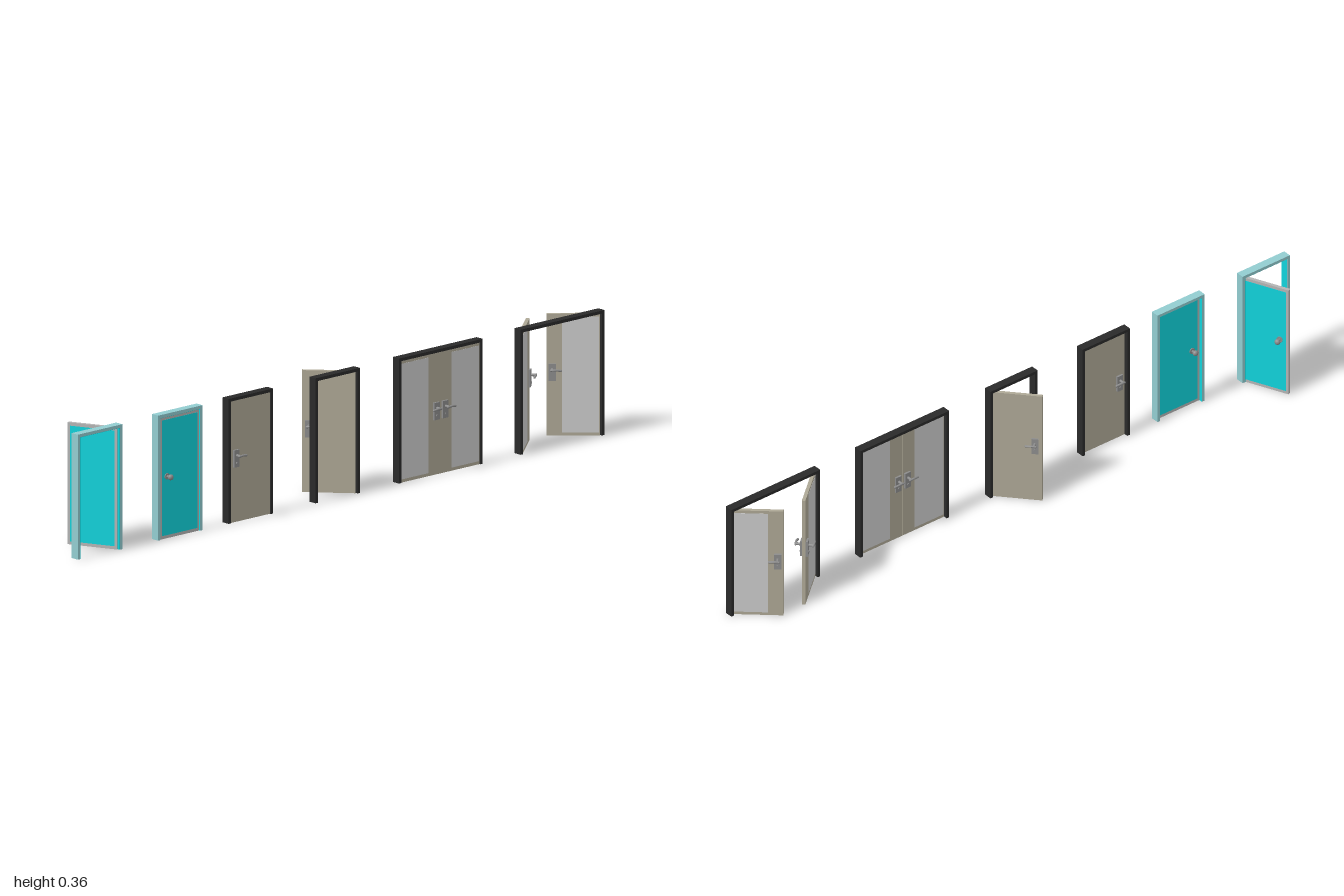
import * as THREE from 'three';

const mat = (color) => new THREE.MeshStandardMaterial({ color });
const grey = mat(0xcccccc), metal = mat(0x8c8c8c), khaki = mat(0xaea896), dark = mat(0x2a2a2a);
const teal = mat(0x10d2da), paleTeal = mat(0x92ccd0), border = mat(0xb4b4b4);

const H = 0.361, POST = 0.009, LEAF_H = H - POST, T = 0.01, Z = 0.056;
const FRAME_Z = 0.052, FRAME_D = 0.025;

function add(parent, name, geometry, material, x = 0, y = 0, z = 0) {
  const mesh = new THREE.Mesh(geometry, material);
  mesh.name = name;
  mesh.position.set(x, y, z);
  parent.add(mesh);
  return mesh;
}
const box = (w, h, d) => new THREE.BoxGeometry(w, h, d);

// Two posts and a lintel, optionally lined with a second colour
function buildFrame(x0, x1, material, lining) {
  const frame = new THREE.Group();
  frame.name = 'doorFrame';
  const w = x1 - x0, mid = (x0 + x1) / 2;
  for (const s of [-1, 1]) {
    add(frame, 'post', box(POST, LEAF_H, FRAME_D), material, mid + s * (w - POST) / 2, LEAF_H / 2, FRAME_Z);
    if (lining) add(frame, 'postLining', box(0.001, LEAF_H, FRAME_D - 0.001), lining,
      mid + s * (w / 2 - POST - 0.0003), LEAF_H / 2, FRAME_Z);
  }
  add(frame, 'lintel', box(w, POST, FRAME_D), material, mid, H - POST / 2, FRAME_Z);
  if (lining) add(frame, 'lintelLining', box(w - 2 * POST, 0.001, FRAME_D - 0.001), lining, mid, LEAF_H - 0.0003, FRAME_Z);
  return frame;
}

// Round knob with rosette and neck; stands out along +z
function buildKnob() {
  const knob = new THREE.Group();
  knob.name = 'knob';
  const disc = (name, r, len, z) => add(knob, name, new THREE.CylinderGeometry(r, r, len, 20), metal, 0, 0, z).rotateX(Math.PI / 2);
  disc('rosette', 0.009, 0.003, T / 2 + 0.0015);
  disc('neck', 0.0035, 0.012, T / 2 + 0.006);
  add(knob, 'knobBall', new THREE.SphereGeometry(0.0085, 20, 14), metal, 0, 0, 0.021).scale.z = 0.85;
  return knob;
}

// Lever on a tall plate; the lever points along dir
function buildLever(dir) {
  const lever = new THREE.Group();
  lever.name = 'leverHandle';
  add(lever, 'plate', box(0.02, 0.05, 0.006), metal, 0, 0, T / 2 + 0.003);
  add(lever, 'spindle', new THREE.CylinderGeometry(0.004, 0.004, 0.017, 16), metal, 0, 0.009, 0.0175).rotateX(Math.PI / 2);
  const arm = new THREE.CatmullRomCurve3([
    new THREE.Vector3(-dir * 0.004, 0.009, 0.025),
    new THREE.Vector3(dir * 0.01, 0.01, 0.026),
    new THREE.Vector3(dir * 0.024, 0.008, 0.024)]);
  add(lever, 'arm', new THREE.TubeGeometry(arm, 10, 0.0032, 10), metal);
  add(lever, 'armTip', new THREE.SphereGeometry(0.0033, 10, 8), metal, dir * 0.024, 0.008, 0.024);
  add(lever, 'armRoot', new THREE.SphereGeometry(0.0033, 10, 8), metal, -dir * 0.004, 0.009, 0.025);
  add(lever, 'lockCylinder', new THREE.CylinderGeometry(0.0035, 0.0035, 0.003, 12), metal, 0, -0.013, 0.012).rotateX(Math.PI / 2);
  return lever;
}

// Leaf hinged at its origin and reaching along dir (+1 or -1 in x)
function buildLeaf(hingeX, dir, length, angle, style) {
  const leaf = new THREE.Group();
  leaf.name = 'doorLeaf';
  leaf.position.set(hingeX, 0, Z);
  leaf.rotation.y = dir * THREE.MathUtils.degToRad(angle);
  add(leaf, 'slab', box(length, LEAF_H, T), style === 'teal' ? border : khaki, dir * length / 2, LEAF_H / 2);

  // Inset panel on both faces
  const inset = { teal: [0.008, 0.008, teal], double: [0.003, 0.043, grey] }[style];
  if (inset) {
    const [a, b, material] = inset;
    add(leaf, 'panel', box(length - a - b, LEAF_H - 0.018, T + 0.001), material,
      dir * (a + length - b) / 2, LEAF_H / 2);
  }

  // Handles on both faces
  const offset = style === 'teal' ? 0.027 : style === 'double' ? 0.016 : 0.02;
  for (const s of [1, -1]) {
    const handle = style === 'teal' ? buildKnob() : buildLever(-dir * s);
    handle.position.set(dir * (length - offset), style === 'teal' ? 0.179 : 0.184, 0);
    if (s < 0) handle.rotation.y = Math.PI;
    // Levers reach from the free edge towards the hinge
    leaf.add(handle);
  }
  return leaf;
}

export function createModel() {
  const model = new THREE.Group();
  model.name = 'doorSet';
  // [left x, right x, style, opening angles]
  const doors = [
    [-1.0, -0.831, 'teal', [66]],
    [-0.695, -0.526, 'teal', [0]],
    [-0.427, -0.258, 'plain', [0]],
    [-0.097, 0.072, 'plain', [48]],
    [0.22, 0.538, 'double', [0, 0]],
    [0.682, 1.0, 'double', [41.5, 40]],
  ];
  for (const [x0, x1, style, angles] of doors) {
    const door = new THREE.Group();
    door.name = style + 'Door';
    const isTeal = style === 'teal';
    door.add(buildFrame(x0, x1, isTeal ? paleTeal : dark, isTeal ? teal : null));
    const length = (x1 - x0 - 2 * POST) / angles.length - 0.0005;
    door.add(buildLeaf(x1 - POST, -1, length, angles[0], style));
    if (angles.length > 1) door.add(buildLeaf(x0 + POST, 1, length, angles[1], style));
    model.add(door);
  }
  return model;
}
